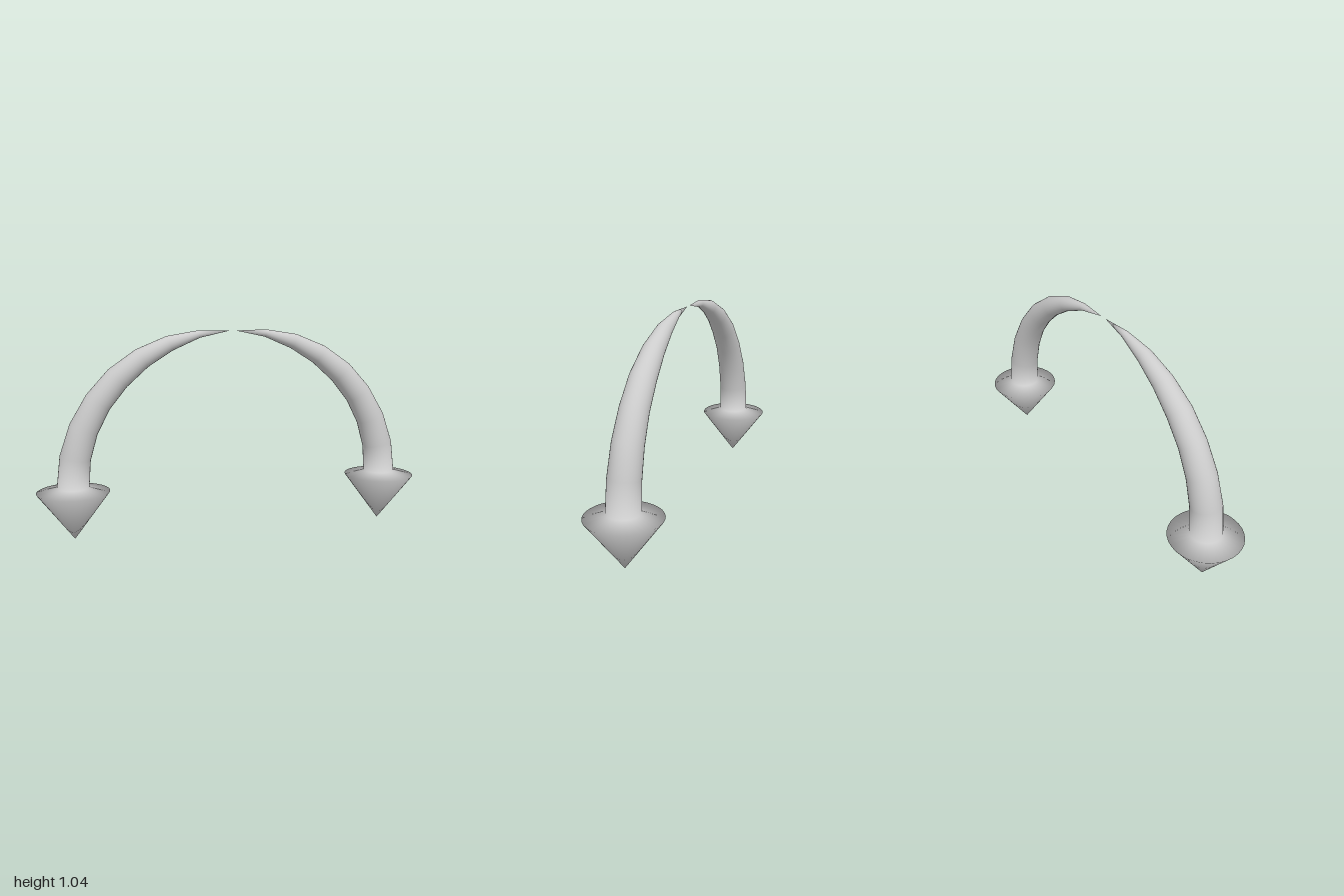
import * as THREE from 'three';

const SIDES = 32;

// Cross-sections of one arrow, from the head's point up to the thin tail.
function arrowSections() {
  const sections = [
    { x: 0.817, y: 0, angle: 0, r: 0 },        // point of the head
    { x: 0.817, y: 0.245, angle: 0, r: 0.182 } // rim of the head
  ];
  // tapering shaft bent along a quarter ellipse
  const radii = [0.08, 0.077, 0.073, 0.068, 0.063, 0.053, 0.039, 0.019, 0];
  radii.forEach((r, i) => {
    const angle = (i / (radii.length - 1)) * Math.PI / 2;
    sections.push({
      x: 0.016 + 0.801 * Math.cos(angle),
      y: 0.267 + 0.766 * Math.sin(angle),
      angle, r
    });
  });
  return sections;
}

// Closed smooth skin over round sections; a zero radius becomes one vertex.
function loft(sections) {
  const positions = [], index = [], starts = [];
  for (const s of sections) {
    starts.push(positions.length / 3);
    const count = s.r === 0 ? 1 : SIDES;
    for (let j = 0; j < count; j++) {
      const a = (j / SIDES) * Math.PI * 2;
      const out = s.r * Math.cos(a);
      positions.push(s.x + out * Math.cos(s.angle), s.y + out * Math.sin(s.angle), s.r * Math.sin(a));
    }
  }
  for (let i = 0; i < sections.length - 1; i++) {
    const at = (k, j) => starts[k] + (sections[k].r === 0 ? 0 : j % SIDES);
    for (let j = 0; j < SIDES; j++) {
      const a = at(i, j), b = at(i + 1, j), c = at(i + 1, j + 1), d = at(i, j + 1);
      if (a !== d) index.push(a, b, d);
      if (b !== c) index.push(b, c, d);
    }
  }
  const geometry = new THREE.BufferGeometry();
  geometry.setAttribute('position', new THREE.Float32BufferAttribute(positions, 3));
  geometry.setIndex(index);
  geometry.computeVertexNormals();
  return geometry;
}

export function createModel() {
  const group = new THREE.Group();
  group.name = 'curvedArrowPair';
  const material = new THREE.MeshStandardMaterial({ color: 0xcccccc });
  const geometry = loft(arrowSections());

  // the same arrow on both sides, turned half way round for the right
  ['leftArrow', 'rightArrow'].forEach((name, i) => {
    const arrow = new THREE.Mesh(geometry, material);
    arrow.name = name;
    arrow.rotation.y = i * Math.PI;
    group.add(arrow);
  });
  return group;
}
